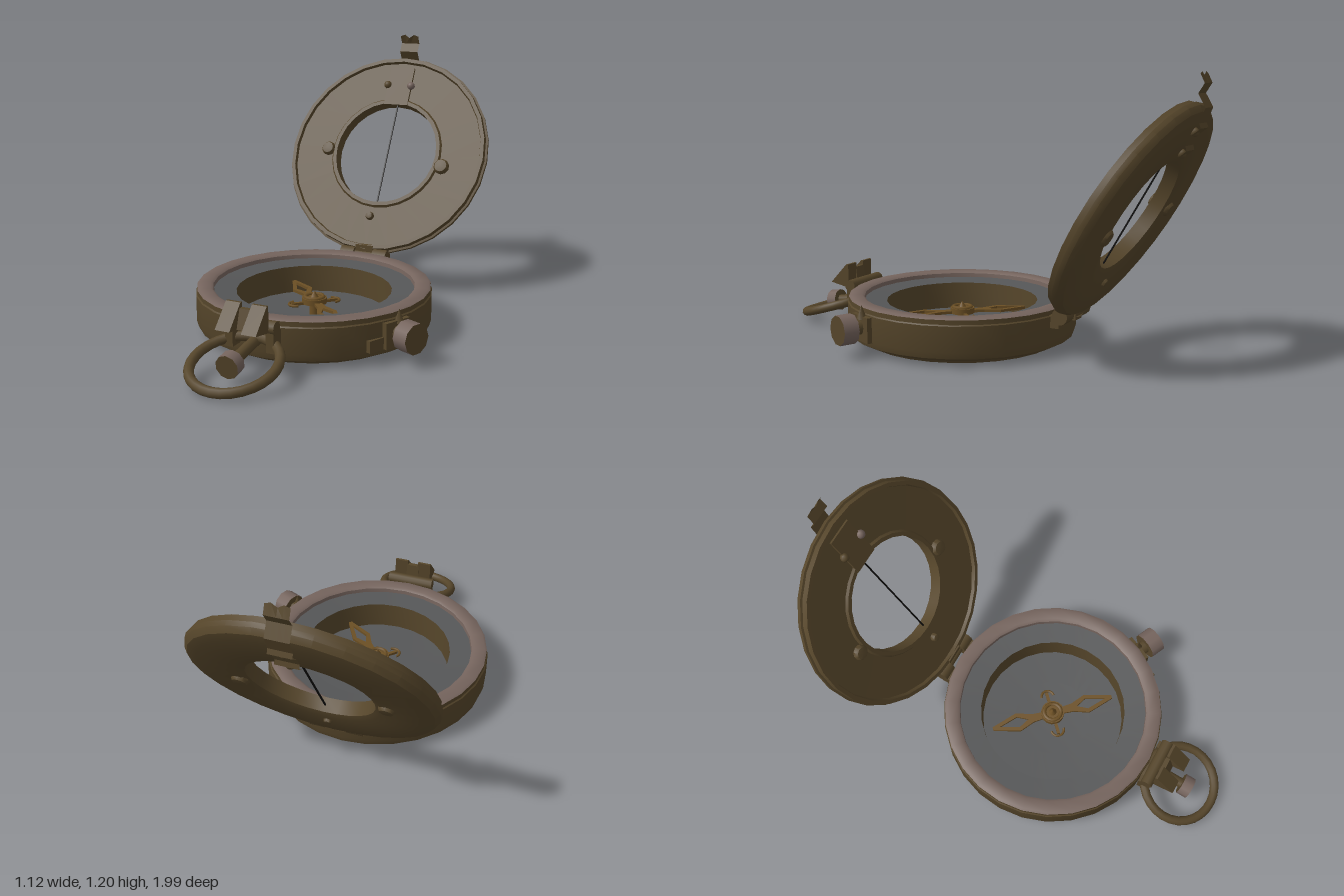
import * as THREE from 'three';
import { toCreasedNormals } from 'three/addons/utils/BufferGeometryUtils.js';

const CX = -0.045, CZ = 0.125; // axis of the case

export function createModel() {
  const root = new THREE.Group();
  root.name = 'fieldCompass';

  const mat = (name, color, extra = {}) => {
    const m = new THREE.MeshStandardMaterial({ color, ...extra });
    m.name = name;
    return m;
  };
  const brass = mat('dark brass', 0x55452a, { side: THREE.DoubleSide });
  const copper = mat('dull copper', 0x75645d);
  const grey = mat('dial grey', 0x555657);
  const gold = mat('needle bronze', 0x6b4f24);
  const black = mat('wire black', 0x0c0b0a);

  const add = (parent, name, geo, material, x = 0, y = 0, z = 0) => {
    const m = new THREE.Mesh(geo, material);
    m.name = name;
    m.position.set(x, y, z);
    parent.add(m);
    return m;
  };
  const group = (name, x, y, z) => {
    const g = new THREE.Group();
    g.name = name;
    g.position.set(x, y, z);
    root.add(g);
    return g;
  };
  const lathe = (pts, seg = 28) =>
    toCreasedNormals(new THREE.LatheGeometry(pts.map(p => new THREE.Vector2(...p)), seg), 0.6);
  const rod = (r, len, seg = 12) => new THREE.CylinderGeometry(r, r, len, seg);
  const rodX = (r, len, seg) => rod(r, len, seg).rotateZ(-Math.PI / 2);
  // side profile given as (z, y), extruded along x and centred
  const sideProfile = (pts, width) =>
    new THREE.ExtrudeGeometry(new THREE.Shape(pts.map(p => new THREE.Vector2(...p))),
      { depth: width, bevelEnabled: false })
      .rotateY(-Math.PI / 2).translate(width / 2, 0, 0);

  // Case: shell with stepped foot, copper rim, grey bezel, deep well
  const body = group('case', CX, 0, CZ);
  add(body, 'caseShell', lathe([[0, 0.002], [0.1, 0.002], [0.11, 0.015], [0.36, 0.015], [0.365, 0],
    [0.435, 0], [0.45, 0.022], [0.48, 0.022], [0.506, 0.036], [0.515, 0.065], [0.515, 0.175],
    [0.51, 0.18], [0.51, 0.2]]), brass);
  add(body, 'rim', lathe([[0.51, 0.2], [0.5, 0.206], [0.452, 0.206], [0.44, 0.198], [0.438, 0.18]]), copper);
  add(body, 'bezel', lathe([[0.438, 0.18], [0.34, 0.172]]), grey);
  add(body, 'wellWall', lathe([[0.34, 0.172], [0.335, 0.045]]), brass);
  add(body, 'dial', lathe([[0.336, 0.05], [0.18, 0.042], [0, 0.036]]), grey);

  // Needle: two open diamonds on a pivot with curled side arms
  const needle = group('needle', CX, 0.12, CZ);
  needle.rotation.y = -Math.PI / 4;
  const blade = new THREE.Shape([[0.04, -0.015], [0.1, -0.02], [0.17, -0.045], [0.295, -0.008],
    [0.295, 0.008], [0.17, 0.045], [0.1, 0.02], [0.04, 0.015]].map(p => new THREE.Vector2(...p)));
  blade.holes.push(new THREE.Path([[0.12, 0], [0.17, 0.026], [0.262, 0], [0.17, -0.026]]
    .map(p => new THREE.Vector2(...p))));
  const bladeGeo = new THREE.ExtrudeGeometry(blade, { depth: 0.012, bevelEnabled: false }).rotateX(Math.PI / 2);
  for (const turn of [0, Math.PI]) {
    add(needle, 'needleBlade', bladeGeo, gold).rotation.y = turn;
    const arm = new THREE.Group();
    arm.name = 'curledArm';
    arm.rotation.y = turn;
    needle.add(arm);
    add(arm, 'armBar', new THREE.BoxGeometry(0.014, 0.012, 0.07), gold, 0, -0.01, 0.07);
    add(arm, 'armCurl', new THREE.TorusGeometry(0.03, 0.006, 6, 12, Math.PI).rotateX(Math.PI / 2),
      gold, 0, -0.01, 0.085);
  }
  add(needle, 'hub', rod(0.055, 0.025, 16), gold);
  add(needle, 'hubRing', new THREE.TorusGeometry(0.04, 0.009, 6, 16).rotateX(Math.PI / 2), gold, 0, 0.014, 0);
  add(needle, 'hubCap', new THREE.ConeGeometry(0.02, 0.03, 10), gold, 0, 0.026, 0);
  add(needle, 'pivotPost', rod(0.022, 0.08), gold, 0, -0.045, 0);

  // Lid: open ring leaning back; local y is its inner face, local -z its top
  const lid = group('lid', CX, 0.63, -0.695);
  lid.rotation.x = Math.PI / 3;
  add(lid, 'lidRing', lathe([[0.262, -0.03], [0.29, -0.04], [0.455, -0.04], [0.495, -0.03],
    [0.513, -0.008], [0.515, 0.012], [0.505, 0.014], [0.503, 0.04], [0.485, 0.04], [0.48, 0.024],
    [0.288, 0.022], [0.28, 0.032], [0.262, 0.032], [0.262, -0.03]]), brass);
  add(lid, 'sightWire', new THREE.BoxGeometry(0.006, 0.006, 0.53), black);
  add(lid, 'sightPlate', new THREE.BoxGeometry(0.125, 0.014, 0.2), brass, 0, 0.028, -0.352);
  for (const side of [-1, 1])
    add(lid, 'plateRivet', new THREE.SphereGeometry(0.02, 10, 8), side > 0 ? copper : brass,
      side * 0.062, 0.035, -0.357);
  for (const [x, z, r] of [[-0.31, 0.006, 0.035], [0.302, 0.05, 0.038], [-0.01, 0.335, 0.02]]) {
    add(lid, 'lidRivet', lathe([[0, -0.056], [r * 0.8, -0.052], [r, -0.04], [r, 0.034],
      [r * 0.8, 0.045], [0, 0.049]], 10), brass, x, 0, z);
  }

  // Sight tab: folded strip running down the lid's back, notched at the top
  const fold = [[1.2, -0.972], [1.155, -0.99], [1.115, -0.965], [1.06, -0.996], [1.0, -0.972],
    [0.98, -0.98], [0.95, -0.94], [0.91, -0.92], [0.89, -0.925], [0.86, -0.888]];
  const strip = new THREE.PlaneGeometry(0.095, 1, 4, fold.length - 1);
  const sp = strip.attributes.position;
  for (let i = 0; i < sp.count; i++) {
    const [y, z] = fold[Math.floor(i / 5)];
    sp.setY(i, y - (i < 5 && i % 2 === 0 ? (i === 2 ? 0.016 : 0.008) : 0));
    sp.setZ(i, z);
  }
  add(root, 'sightTab', toCreasedNormals(strip, 0.3), brass, CX);
  for (const v of [0.31, 0.41])
    add(lid, 'strapRivet', new THREE.SphereGeometry(0.02, 10, 8), brass, 0, -0.045, -v);

  // Hinge: outer knuckles with lugs, joined by a pin
  const hinge = group('hinge', CX, 0.18, -0.42);
  add(hinge, 'hingePin', rodX(0.022, 0.2), brass);
  for (const side of [-1, 1]) {
    add(hinge, 'hingeKnuckle', rodX(0.036, 0.07), brass, side * 0.083);
    add(hinge, 'hingeLug', new THREE.BoxGeometry(0.065, 0.055, 0.07), brass, side * 0.083, -0.025, 0.04);
  }
  add(hinge, 'lidLug', new THREE.BoxGeometry(0.09, 0.06, 0.05), brass, 0, 0.02, -0.015);

  // Thumb clasp: twin wedges on a barrel, with legs holding the ring
  const clasp = group('clasp', CX, 0, 0);
  add(clasp, 'claspBarrel', rodX(0.028, 0.225), brass, 0, 0.19, 0.675);
  add(clasp, 'claspWeb', sideProfile([[0.69, 0.18], [0.745, 0.185], [0.72, 0.265], [0.7, 0.265]], 0.06), brass);
  for (const side of [-1, 1]) {
    add(clasp, 'claspWing', sideProfile([[0.7, 0.175], [0.8, 0.193], [0.712, 0.286], [0.7, 0.286]], 0.065),
      brass, side * 0.058);
    add(clasp, 'claspLeg', new THREE.BoxGeometry(0.035, 0.085, 0.06), brass, side * 0.092, 0.132, 0.665);
  }

  // Carrying ring and the thumb screw inside it
  const ring = add(root, 'carryRing', new THREE.TorusGeometry(0.177, 0.021, 10, 28).rotateX(Math.PI / 2),
    brass, CX, 0.075, 0.808);
  ring.rotation.x = 0.29;
  const screw = group('thumbScrew', CX, 0.083, 0.84);
  screw.rotation.x = 0.15;
  const caps = [copper, brass, brass];
  add(screw, 'screwHead', rod(0.05, 0.05, 10).rotateX(Math.PI / 2), caps);
  add(screw, 'screwStem', rod(0.024, 0.22).rotateX(Math.PI / 2), brass, 0, 0, -0.12);

  // Side knob: block, pointer and head, local x pointing outward
  const knob = group('sideKnob', CX, 0.12, CZ);
  knob.rotation.y = -0.42;
  add(knob, 'knobHead', rodX(0.065, 0.07, 10), caps, 0.6);
  add(knob, 'knobStem', rodX(0.032, 0.08), brass, 0.53);
  add(knob, 'knobBlock', new THREE.BoxGeometry(0.05, 0.11, 0.13), brass, 0.505, -0.005, 0);
  add(knob, 'knobArm', new THREE.BoxGeometry(0.04, 0.05, 0.1), brass, 0.495, -0.035, 0.09);
  add(knob, 'knobPointer', new THREE.ConeGeometry(0.022, 0.06, 6), brass, 0.525, 0.068, -0.01);

  return root;
}
